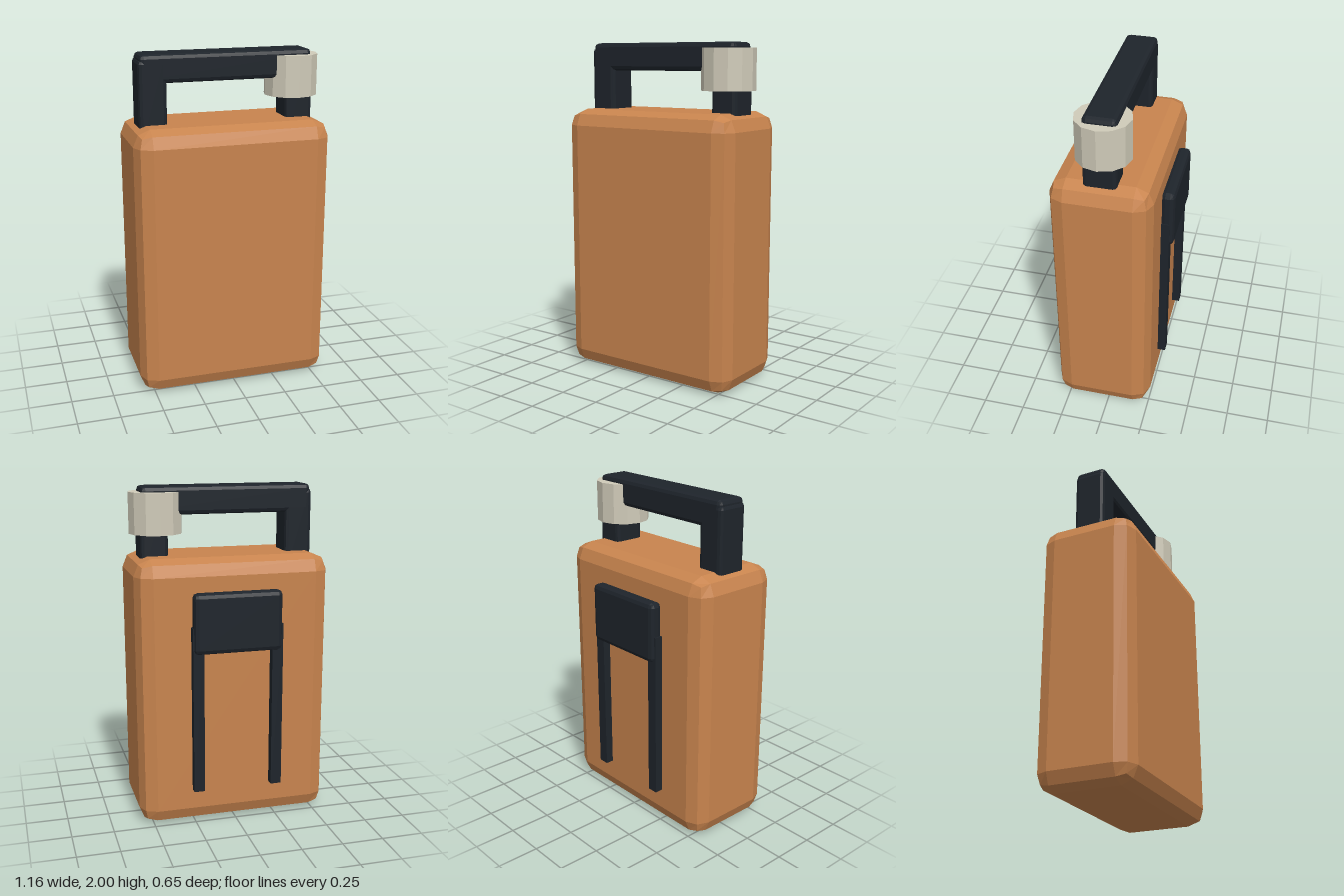
import * as THREE from 'three';

const paint = (color) => new THREE.MeshStandardMaterial({ color, flatShading: true });
const orange = paint(0xc8844e);
const black = paint(0x1e242b);
const cream = paint(0xd0cbb9);

// Box with two-facet rounded edges and faceted corners, given by its min and max corners
function softBox(min, max, r) {
  const geo = new THREE.BoxGeometry(3, 3, 3, 3, 3, 3);
  const lo = new THREE.Vector3(...min), hi = new THREE.Vector3(...max);
  const centre = lo.clone().add(hi).multiplyScalar(0.5);
  const core = hi.clone().sub(lo).multiplyScalar(0.5).subScalar(r);
  const pos = geo.attributes.position;
  const v = new THREE.Vector3(), dir = new THREE.Vector3();
  const outer = (c) => (Math.abs(c) > 1 ? Math.sign(c) : 0);
  for (let i = 0; i < pos.count; i++) {
    v.fromBufferAttribute(pos, i);
    dir.set(outer(v.x), outer(v.y), outer(v.z)).normalize().multiplyScalar(r);
    v.set(Math.sign(v.x), Math.sign(v.y), Math.sign(v.z)).multiply(core).add(dir).add(centre);
    pos.setXYZ(i, v.x, v.y, v.z);
  }
  geo.computeVertexNormals();
  return geo;
}

export function createModel() {
  const model = new THREE.Group();
  model.name = 'canister';
  const add = (name, geo, mat, parent = model) => {
    const mesh = new THREE.Mesh(geo, mat);
    mesh.name = name;
    parent.add(mesh);
    return mesh;
  };

  // Main body
  add('body', softBox([-0.58, 0, -0.255], [0.58, 1.605, 0.325], 0.097), orange);

  // Carrying handle: two posts and a top bar
  const handle = new THREE.Group();
  handle.name = 'handle';
  model.add(handle);
  add('handlePostRight', softBox([-0.52, 1.5, -0.06], [-0.357, 1.97, 0.13], 0.022), black, handle);
  add('handlePostLeft', softBox([0.353, 1.5, -0.06], [0.516, 1.97, 0.13], 0.022), black, handle);
  add('handleBar', softBox([-0.51, 1.837, -0.06], [0.506, 2, 0.13], 0.025), black, handle);

  // Twelve-sided cap around the left end of the handle
  const cap = add('cap', new THREE.CylinderGeometry(0.157, 0.157, 0.24, 12), cream);
  cap.position.set(0.411, 1.848, 0.035);

  // Back clip: a rounded plate over two straps
  const clip = new THREE.Group();
  clip.name = 'backClip';
  model.add(clip);
  add('clipPlate', softBox([-0.262, 1.065, -0.327], [0.265, 1.42, -0.245], 0.027), black, clip);
  for (const side of [-1, 1]) {
    const strap = add(side < 0 ? 'strapRight' : 'strapLeft', new THREE.BoxGeometry(0.065, 1, 0.06), black, clip);
    strap.position.set(side * 0.238, 0.72, -0.273);
  }
  return model;
}
